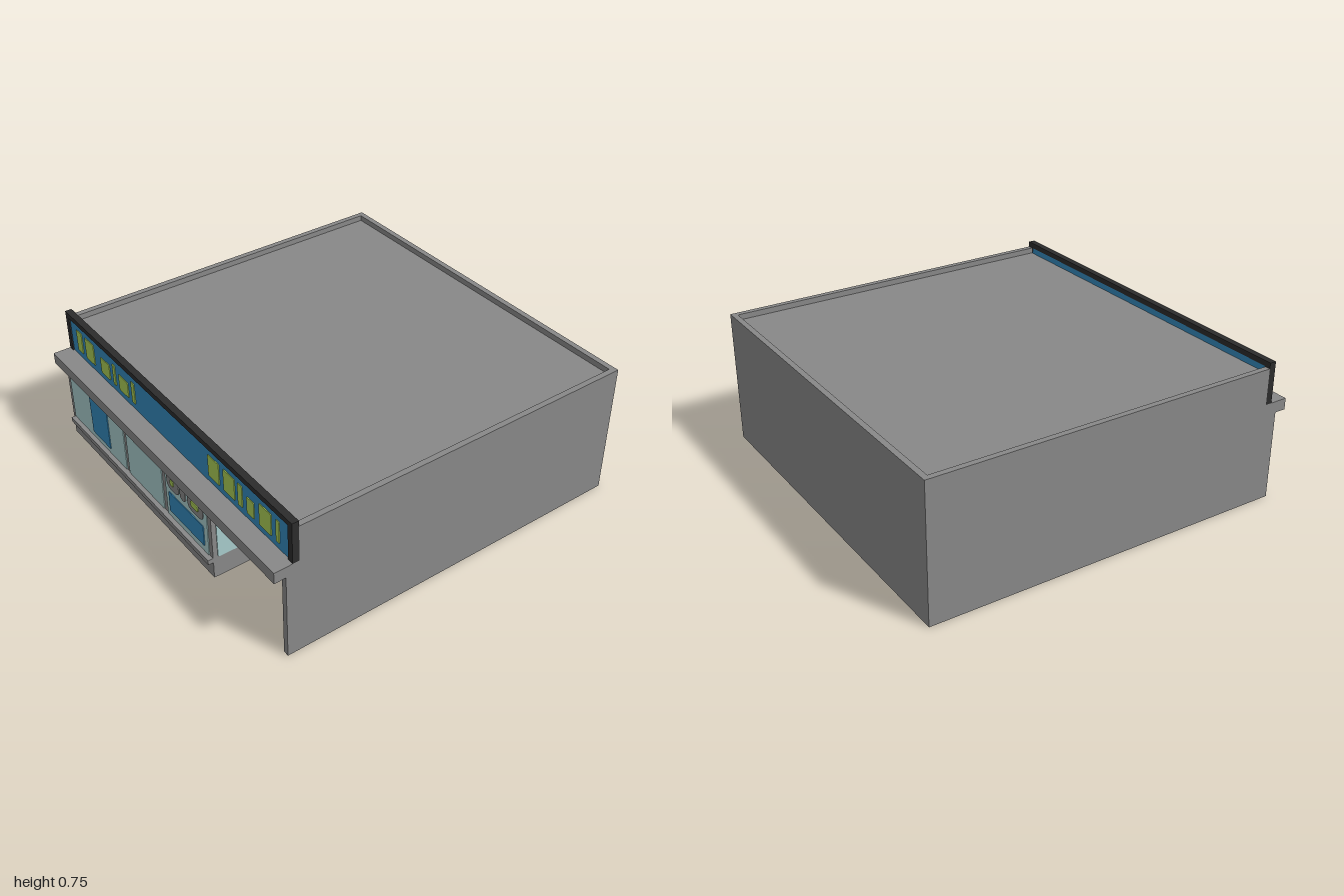
import * as THREE from 'three';

const mat = (name, color) => new THREE.MeshStandardMaterial({ name, color });

export function createModel() {
  const concrete = mat('concrete', 0x888888);
  const glass = mat('paleGlass', 0xa8cccc);
  const blue = mat('signBlue', 0x3388bb);
  const lime = mat('lime', 0xaacc55);
  const wood = mat('doorWood', 0x8a5c0c);
  const dark = mat('darkTrim', 0x2c2c2c);

  const shop = new THREE.Group();
  shop.name = 'shop';

  const add = (name, geometry, material, parent = shop) => {
    const mesh = new THREE.Mesh(geometry, material);
    mesh.name = name;
    parent.add(mesh);
    return mesh;
  };
  // Box given by its limits on each axis
  const box = (name, m, x0, x1, y0, y1, z0, z1) =>
    add(name, new THREE.BoxGeometry(x1 - x0, y1 - y0, z1 - z0), m)
      .position.set((x0 + x1) / 2, (y0 + y1) / 2, (z0 + z1) / 2);
  // Thin plate with rounded corners, its back at z = 0
  const plateGeometry = (x0, x1, y0, y1, r, t = 0.004) => {
    const s = new THREE.Shape();
    s.moveTo(x0 + r, y0);
    s.lineTo(x1 - r, y0); s.quadraticCurveTo(x1, y0, x1, y0 + r);
    s.lineTo(x1, y1 - r); s.quadraticCurveTo(x1, y1, x1 - r, y1);
    s.lineTo(x0 + r, y1); s.quadraticCurveTo(x0, y1, x0, y1 - r);
    s.lineTo(x0, y0 + r); s.quadraticCurveTo(x0, y0, x0 + r, y0);
    return new THREE.ExtrudeGeometry(s, { depth: t, bevelEnabled: false, curveSegments: 6 });
  };
  const plate = (name, m, x0, x1, y0, y1, z, r = 0.006) => {
    const mesh = add(name, plateGeometry(x0, x1, y0, y1, r), m);
    mesh.position.z = z;
    return mesh;
  };

  // Ground storey: footprint with a door recess and a hollow display bay
  const outline = (pts) => pts.map(([x, z]) => new THREE.Vector2(x, -z));
  const footprint = new THREE.Shape(outline([
    [-1, 0.94], [0.4, 0.94], [0.4, 0.63], [0.97, 0.63],
    [0.97, 0.94], [1, 0.94], [1, -1], [-1, -1],
  ]));
  footprint.holes.push(new THREE.Path(outline([
    [-0.15, 0.6], [0.37, 0.6], [0.37, 0.87], [-0.15, 0.87],
  ])));
  const storey = new THREE.ExtrudeGeometry(footprint, { depth: 0.47, bevelEnabled: false });
  storey.rotateX(-Math.PI / 2);
  add('groundStorey', storey, concrete);

  // Upper body, parapet walls and ledge
  box('upperBody', concrete, -1, 1, 0.47, 0.69, -1, 0.87);
  box('backParapet', concrete, -1, 1, 0.69, 0.72, -1, -0.97);
  for (const s of [-1, 1]) {
    const x = s * 0.985;
    box(s < 0 ? 'rightParapet' : 'leftParapet', concrete, x - 0.015, x + 0.015, 0.69, 0.72, -0.97, 0.87);
  }
  box('ledge', concrete, -1, 1, 0.47, 0.53, 0.87, 1);

  // Sign board with a dark frame
  box('signFrameTop', dark, -1, 1, 0.722, 0.75, 0.87, 0.905);
  box('signFrameRight', dark, -1, -0.968, 0.53, 0.722, 0.87, 0.905);
  box('signFrameLeft', dark, 0.968, 1, 0.53, 0.722, 0.87, 0.905);
  box('signPanel', blue, -0.968, 0.968, 0.53, 0.722, 0.874, 0.898);
  // Abstract blocks on the sign: x limits and top edge
  [
    [-0.905, -0.85, 0.685], [-0.815, -0.725, 0.685], [-0.655, -0.565, 0.655],
    [-0.53, -0.505, 0.685], [-0.47, -0.38, 0.655], [-0.345, -0.315, 0.685],
    [0.345, 0.435, 0.685], [0.47, 0.56, 0.685], [0.585, 0.62, 0.685],
    [0.655, 0.71, 0.655], [0.75, 0.84, 0.685], [0.875, 0.9, 0.685],
  ].forEach(([a, b, top]) => plate('signBlock', lime, a, b, 0.565, top, 0.898));

  // Shop windows, sill and posters
  for (const [a, b] of [[-0.97, -0.405], [-0.378, -0.033], [0, 0.372]]) {
    plate('shopWindow', glass, a, b, 0.122, 0.435, 0.94, 0.01);
  }
  box('windowSill', concrete, -0.97, 0.4, 0.095, 0.122, 0.94, 0.968);
  plate('tallPoster', blue, -0.75, -0.565, 0.155, 0.405, 0.944);
  plate('widePoster', blue, 0.03, 0.34, 0.16, 0.28, 0.944);
  plate('greyBadge', concrete, 0.022, 0.132, 0.31, 0.41, 0.944, 0.04);
  plate('greyBadge', concrete, 0.143, 0.19, 0.315, 0.405, 0.944, 0.023);
  plate('greyBadge', concrete, 0.21, 0.345, 0.31, 0.41, 0.944, 0.04);
  plate('badgeCentre', lime, 0.06, 0.09, 0.345, 0.375, 0.948);
  plate('badgeCentre', lime, 0.245, 0.31, 0.343, 0.377, 0.948, 0.015);

  // Inner face of the display bay
  plate('innerWindow', glass, 0, 0.36, 0.122, 0.435, 0.866);
  plate('innerWindow', glass, -0.145, -0.033, 0.122, 0.435, 0.866);
  plate('innerPoster', blue, 0.03, 0.34, 0.16, 0.28, 0.862);

  // Window on the side of the door recess
  const side = (name, m, z0, z1, y0, y1, x, r) => {
    const mesh = add(name, plateGeometry(-z1, -z0, y0, y1, r), m);
    mesh.rotation.y = Math.PI / 2;
    mesh.position.x = x;
  };
  side('sideWindow', glass, 0.66, 0.915, 0.122, 0.435, 0.4, 0.01);
  side('sideSticker', blue, 0.7, 0.755, 0.15, 0.21, 0.404, 0.025);

  // Door with a wooden frame, two panes and a push bar
  box('doorFrameRight', wood, 0.5, 0.528, 0, 0.465, 0.63, 0.645);
  box('doorFrameLeft', wood, 0.843, 0.87, 0, 0.465, 0.63, 0.645);
  box('doorFrameTop', wood, 0.528, 0.843, 0.438, 0.465, 0.63, 0.645);
  box('doorFrameBottom', wood, 0.528, 0.843, 0, 0.025, 0.63, 0.645);
  box('doorPanel', concrete, 0.528, 0.843, 0.025, 0.438, 0.63, 0.636);
  plate('doorPane', glass, 0.56, 0.812, 0.285, 0.408, 0.636, 0.04);
  plate('doorPane', glass, 0.56, 0.812, 0.065, 0.19, 0.636, 0.04);
  plate('doorSticker', concrete, 0.62, 0.75, 0.34, 0.38, 0.64, 0.019);
  box('doorPushBar', concrete, 0.53, 0.84, 0.225, 0.25, 0.636, 0.66);

  return shop;
}
